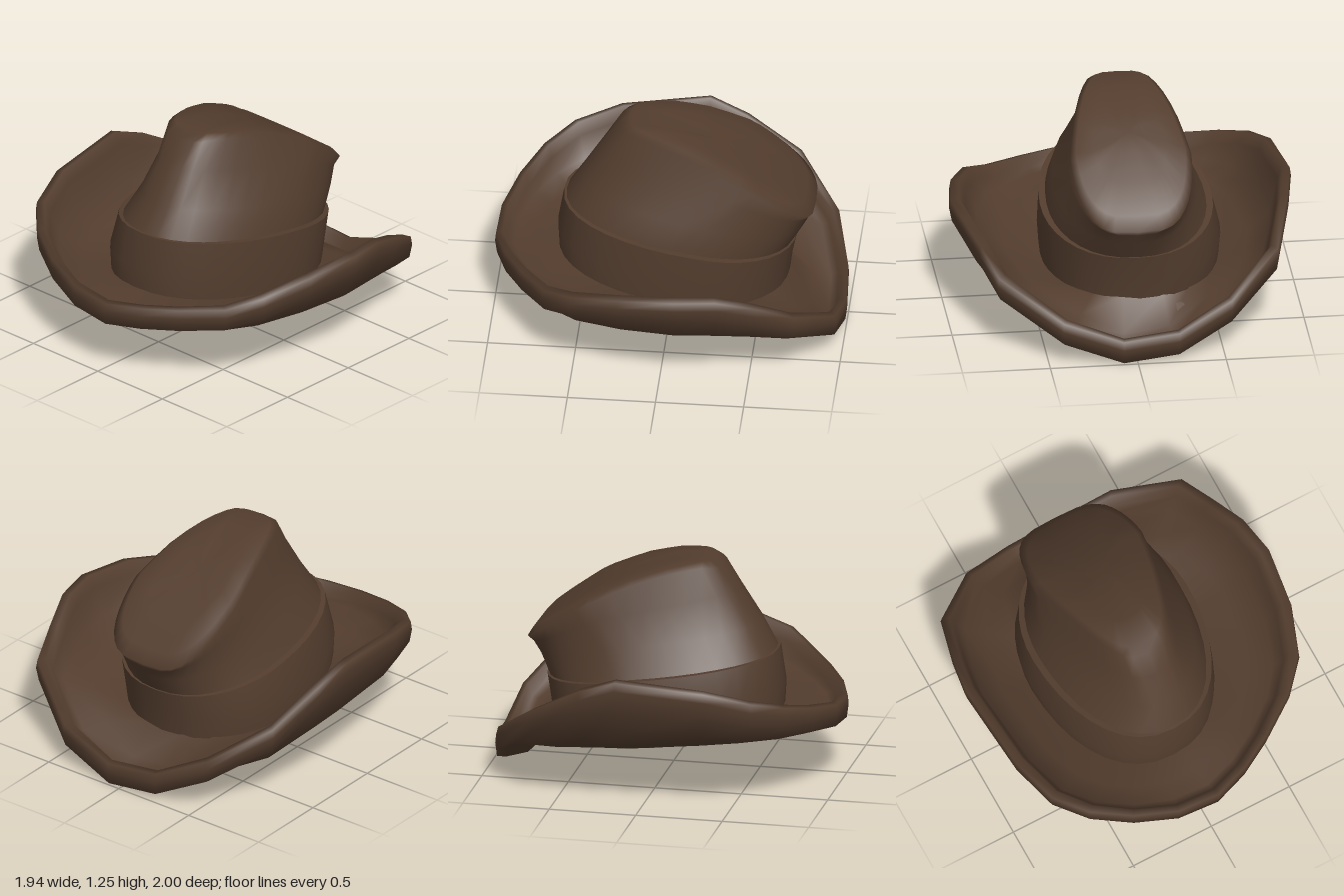
import * as THREE from 'three';

// Skin a stack of closed rings (each an equal-length list of Vector3)
function loft(rings, cap = false) {
  const n = rings[0].length, pos = [], idx = [];
  rings.forEach(r => r.forEach(p => pos.push(p.x, p.y, p.z)));
  for (let i = 0; i < rings.length - 1; i++) {
    for (let j = 0; j < n; j++) {
      const k = (j + 1) % n;
      const a = i * n + j, b = i * n + k, c = (i + 1) * n + k, d = (i + 1) * n + j;
      idx.push(a, b, c, a, c, d);
    }
  }
  if (cap) {
    const last = rings[rings.length - 1], base = (rings.length - 1) * n;
    const mid = last.reduce((s, p) => s.add(p), new THREE.Vector3()).divideScalar(n);
    pos.push(mid.x, mid.y, mid.z);
    for (let j = 0; j < n; j++) idx.push(base + j, base + (j + 1) % n, base + n);
  }
  const g = new THREE.BufferGeometry();
  g.setAttribute('position', new THREE.Float32BufferAttribute(pos, 3));
  g.setIndex(idx);
  g.computeVertexNormals();
  return g;
}

// Point on an egg-shaped ring: angle 0 is the front, a quarter turn is +x.
// A lower "round" squares the ends off, "taper" narrows the front.
function eggPoint(o, a) {
  const { round = 0.87, taper = 0 } = o;
  const s = Math.sin(a), c = Math.cos(a);
  const z = o.z0 + c * (c > 0 ? o.zf - o.z0 : o.z0 - o.zb);
  const x = o.cx + o.w * Math.sign(s) * Math.abs(s) ** round * (1 - taper * Math.max(0, c));
  const y = o.ys + c * (o.yf - o.yb) / 2 + c * c * ((o.yf + o.yb) / 2 - o.ys);
  return new THREE.Vector3(x, y, z);
}
const SIDES = 36;
const egg = o => Array.from({ length: SIDES }, (_, i) => eggPoint(o, i / SIDES * Math.PI * 2));

// Height of the sloping crown top along z
const SLOPE = [[-0.81, 0.78], [-0.72, 0.86], [-0.45, 1.045], [-0.2, 1.165], [0, 1.23], [0.19, 1.265], [0.3, 1.25]];
function topHeight(z) {
  for (let i = 1; i < SLOPE.length; i++) {
    const [z0, y0] = SLOPE[i - 1], [z1, y1] = SLOPE[i];
    if (z <= z1 || i === SLOPE.length - 1) return y0 + (y1 - y0) * (z - z0) / (z1 - z0);
  }
}

// Rings of the crown, bottom to top
const OPENING = { cx: -0.05, w: 0.5, zf: 0.64, zb: -0.66, z0: -0.1, yf: 0.34, ys: 0.25, yb: 0.22 };
const BAND_MID = { cx: -0.05, w: 0.515, zf: 0.65, zb: -0.68, z0: -0.12, yf: 0.52, ys: 0.44, yb: 0.38 };
const BAND_TOP = { cx: -0.03, w: 0.49, zf: 0.615, zb: -0.71, z0: -0.15, yf: 0.73, ys: 0.63, yb: 0.53 };
const WALL_FOOT = { ...BAND_TOP, w: 0.452, zf: 0.6, zb: -0.7 };
const WALL_LOW = { cx: -0.01, w: 0.405, zf: 0.51, zb: -0.76, z0: -0.22, yf: 0.89, ys: 0.78, yb: 0.64, taper: 0.06 };
const WALL_HIGH = { cx: -0.02, w: 0.35, zf: 0.39, zb: -0.795, z0: -0.36, yf: 1.08, ys: 0.93, yb: 0.71, round: 0.7, taper: 0.2 };
const PLATEAU = { cx: -0.025, w: 0.345, zf: 0.3, zb: -0.815, z0: -0.42, yf: 1, ys: 1, yb: 1, round: 0.52, taper: 0.32 };

function plateauRing(scale, drop) {
  return egg(PLATEAU).map(p => {
    const x = PLATEAU.cx + (p.x - PLATEAU.cx) * scale;
    const z = -0.28 + (p.z + 0.28) * scale;
    return new THREE.Vector3(x, topHeight(z) - drop, z);
  });
}

// Brim edge, starting at the front and passing the +x side: x, top height, z
const RIM = [
  [0.05, 0.46, 1.0], [0.26, 0.475, 0.93], [0.46, 0.49, 0.82], [0.68, 0.515, 0.67], [0.83, 0.58, 0.51],
  [0.93, 0.64, 0.23], [0.97, 0.67, -0.1], [0.93, 0.66, -0.33], [0.85, 0.58, -0.55], [0.77, 0.48, -0.77],
  [0.42, 0.27, -0.97], [0.08, 0.15, -1.0], [-0.24, 0.18, -0.98], [-0.55, 0.33, -0.9], [-0.84, 0.53, -0.66],
  [-0.93, 0.7, -0.35], [-0.97, 0.78, -0.13], [-0.92, 0.73, 0.37], [-0.83, 0.66, 0.63], [-0.67, 0.6, 0.79],
  [-0.45, 0.54, 0.91], [-0.2, 0.485, 0.99],
];

// Brim section: underside going out, rolled edge, then top side coming back in
function brimGeometry() {
  const columns = RIM.map(([x, top, z]) => {
    const o = eggPoint(OPENING, Math.atan2(x - OPENING.cx, z - OPENING.z0));
    const low = top - 0.14;
    const under = s => o.y + (low - o.y) * s;
    // The brim droops quickly where its edge is below the opening
    const droop = THREE.MathUtils.clamp((o.y - low + 0.03) / 0.15, 0, 1);
    const near = under(0.18 + 0.67 * droop), far = under(0.48 + 0.54 * droop);
    const at = (t, y) => new THREE.Vector3(o.x + (x - o.x) * t, y, o.z + (z - o.z) * t);
    return [
      at(0, o.y), at(0.45, near), at(0.82, far), at(0.97, low), at(1, top - 0.06), at(0.985, top - 0.01),
      at(0.89, top), at(0.82, Math.max(top - 0.07, far + 0.05)), at(0.7, far + 0.06), at(0.4, near + 0.06), at(0, o.y + 0.05),
    ];
  });
  return loft(columns[0].map((_, i) => columns.map(c => c[i])));
}

export function createModel() {
  const felt = new THREE.MeshStandardMaterial({ color: 0x533d2e, side: THREE.DoubleSide });
  felt.name = 'brown felt';
  const hat = new THREE.Group();
  hat.name = 'hat';
  const add = (name, geometry) => {
    const mesh = new THREE.Mesh(geometry, felt);
    mesh.name = name;
    hat.add(mesh);
  };

  add('brim', brimGeometry());

  // Wide band around the foot of the crown, its ledge widest at the sides
  add('hatBand', loft([egg(OPENING), egg(BAND_MID), egg(BAND_TOP)]));
  add('hatBandLedge', loft([egg(BAND_TOP), egg(WALL_FOOT)]));

  // Pinched crown with a sloping, gently domed top
  add('crown', loft([
    egg(WALL_FOOT), egg(WALL_LOW), egg(WALL_HIGH),
    plateauRing(1, 0.035), plateauRing(0.9, 0.008), plateauRing(0.6, 0), plateauRing(0.25, 0),
  ], true));

  return hat;
}
